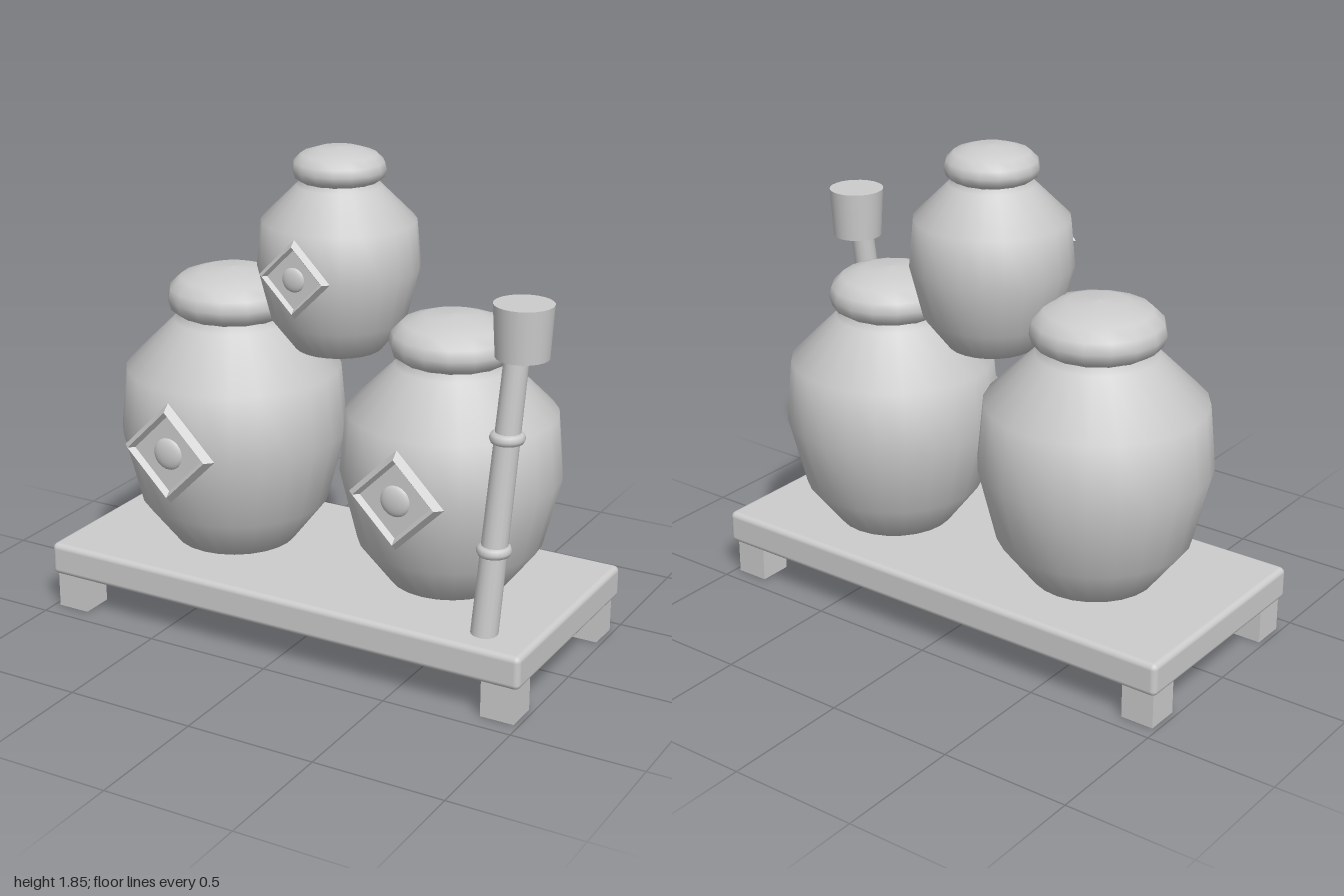
import * as THREE from 'three';
import { RoundedBoxGeometry } from 'three/addons/geometries/RoundedBoxGeometry.js';
import { toCreasedNormals } from 'three/addons/utils/BufferGeometryUtils.js';

const clay = new THREE.MeshStandardMaterial({ color: 0xcccccc });
clay.name = 'pale grey';

function add(parent, name, geometry, x = 0, y = 0, z = 0) {
  const mesh = new THREE.Mesh(geometry, clay);
  mesh.name = name;
  mesh.position.set(x, y, z);
  parent.add(mesh);
  return mesh;
}

const lathe = (points, sides) =>
  new THREE.LatheGeometry(points.map(([r, y]) => new THREE.Vector2(r, y)), sides);

// Pot body and domed lid, turned about the pot's own axis
function makeJar(name, x, y, z, scale) {
  const jar = new THREE.Group();
  jar.name = name;
  add(jar, 'body', lathe([
    [0, 0], [0.235, 0], [0.365, 0.168], [0.435, 0.45], [0.412, 0.7],
    [0.225, 0.885], [0.205, 0.91], [0.2, 0.94], [0, 0.94],
  ], 24));
  add(jar, 'lid', lathe([
    [0, 0.905], [0.2, 0.905], [0.238, 0.93], [0.25, 0.97], [0.24, 1.01],
    [0.2, 1.05], [0.115, 1.078], [0, 1.086],
  ], 16));
  jar.position.set(x, y, z);
  jar.scale.setScalar(scale);
  return jar;
}

// Diamond frame with a recessed plate and a round stud
function makeEmblem(name, x, y, z, scale) {
  const emblem = new THREE.Group();
  emblem.name = name;
  const frame = new THREE.TorusGeometry(0.168, 0.029, 4, 4);
  add(emblem, 'frame', toCreasedNormals(frame, 0.5));
  const plate = new THREE.CylinderGeometry(0.16, 0.16, 0.04, 4);
  plate.rotateX(Math.PI / 2);
  add(emblem, 'plate', plate, 0, 0, -0.012);
  add(emblem, 'stud', new THREE.SphereGeometry(0.062, 20, 12), 0, 0, 0.005).scale.z = 0.35;
  emblem.position.set(x, y, z);
  emblem.scale.setScalar(scale);
  return emblem;
}

// Leaning ladle: rod, two collars and a cup
function makeLadle() {
  const ladle = new THREE.Group();
  ladle.name = 'ladle';
  const foot = new THREE.Vector3(0.805, 0.262, 0.317);
  const tip = new THREE.Vector3(0.853, 1.29, 0.215);
  const direction = tip.clone().sub(foot);
  const middle = foot.clone().lerp(tip, 0.5);
  const rod = add(ladle, 'rod',
    new THREE.CylinderGeometry(0.044, 0.05, direction.length(), 16), ...middle.toArray());
  rod.quaternion.setFromUnitVectors(new THREE.Vector3(0, 1, 0), direction.normalize());
  for (const t of [0.305, 0.703]) {
    const collar = new THREE.TorusGeometry(0.042, 0.022, 8, 20);
    collar.rotateX(Math.PI / 2);
    add(ladle, 'collar', collar, ...foot.clone().lerp(tip, t).toArray());
  }
  add(ladle, 'cup', new THREE.CylinderGeometry(0.106, 0.095, 0.19, 24), 0.869, 1.365, 0.208);
  return ladle;
}

export function createModel() {
  const model = new THREE.Group();
  model.name = 'jarStand';

  // Low table
  add(model, 'board', new RoundedBoxGeometry(2, 0.128, 0.91, 3, 0.022), 0, 0.201, -0.01);
  for (const x of [-0.915, 0.915])
    for (const z of [-0.375, 0.365])
      add(model, 'leg', new THREE.BoxGeometry(0.13, 0.15, 0.13), x, 0.075, z);

  // Three stacked jars
  model.add(makeJar('rightJar', -0.44, 0.264, -0.02, 1));
  model.add(makeJar('leftJar', 0.477, 0.264, -0.06, 0.948));
  model.add(makeJar('topJar', 0, 1.095, -0.06, 0.695));

  model.add(makeEmblem('rightEmblem', -0.437, 0.745, 0.436, 1));
  model.add(makeEmblem('leftEmblem', 0.475, 0.72, 0.37, 0.96));
  model.add(makeEmblem('topEmblem', 0, 1.43, 0.262, 0.74));

  model.add(makeLadle());
  return model;
}
